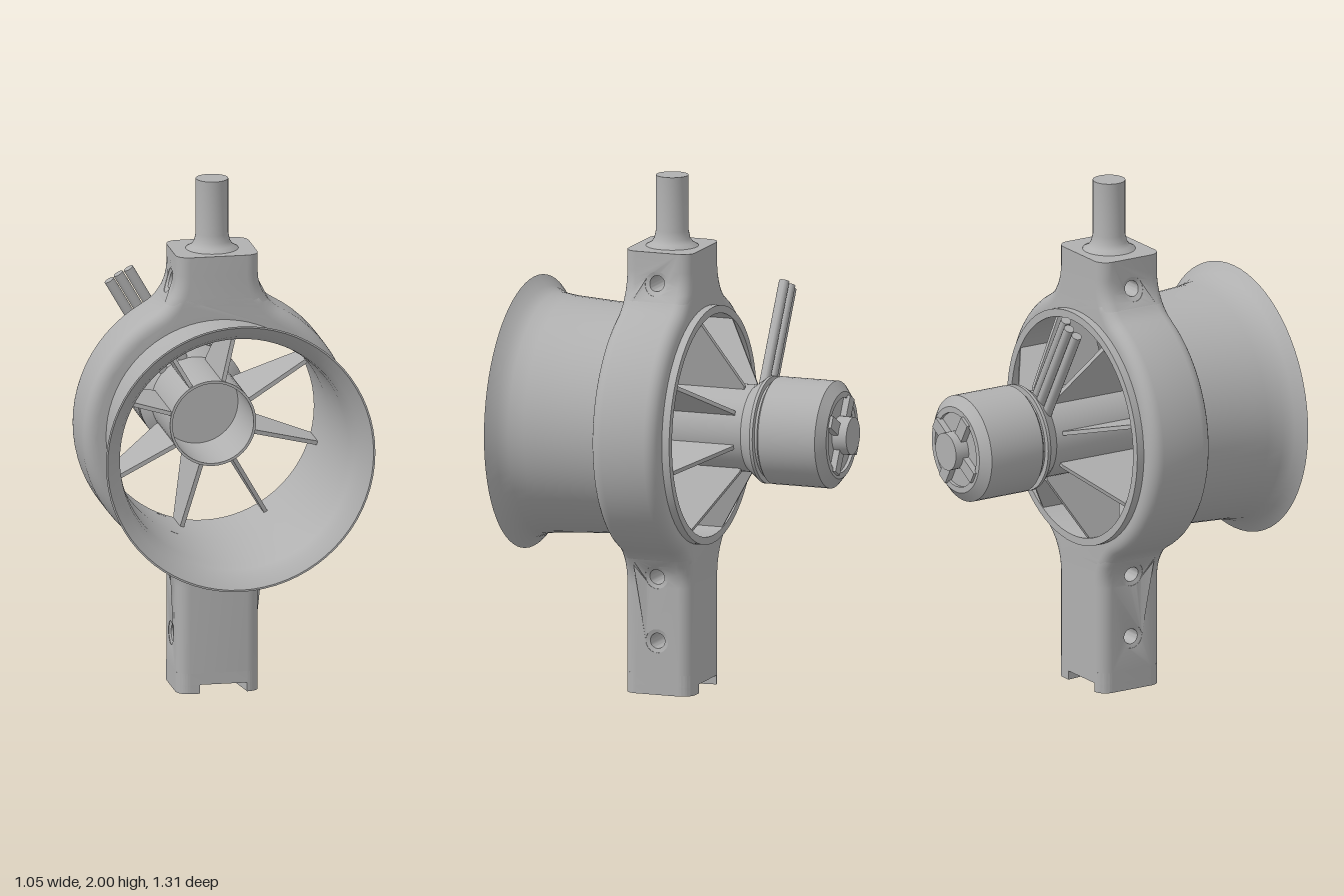
import * as THREE from 'three';
import { toCreasedNormals } from 'three/addons/utils/BufferGeometryUtils.js';

const CY = 1.035;          // height of the duct axis
const MZ = 0.0875;         // depth middle of the bracket
const BEVEL = 0.05;
const FILLET = 0.176, FX = 0.336, FD = 0.615; // fillet between post and ring

export function createModel() {
  const grey = new THREE.MeshStandardMaterial({ color: 0xb0b0b0 });
  grey.name = 'grey';
  const model = new THREE.Group();
  const body = new THREE.Group(); // everything placed around the duct axis
  body.name = 'ductedFan';
  body.position.y = CY;
  model.add(body);

  const add = (parent, name, geo, crease = 0.6) => {
    const mesh = new THREE.Mesh(crease ? toCreasedNormals(geo, crease) : geo, grey);
    mesh.name = name;
    parent.add(mesh);
    return mesh;
  };
  const vecs = pts => pts.map(p => new THREE.Vector2(p[0], p[1]));
  // Revolved part along z, points are [radius, z]
  const turned = (pts, seg = 64) => new THREE.LatheGeometry(vecs(pts), seg).rotateX(Math.PI / 2);
  const eachVertex = (geo, rule) => {
    const p = geo.attributes.position, v = new THREE.Vector3();
    for (let i = 0; i < p.count; i++) {
      v.fromBufferAttribute(p, i);
      rule(v);
      p.setXYZ(i, v.x, v.y, v.z);
    }
    return geo;
  };

  // Bracket ring with fillets running up and down into the posts
  const quarter = [];
  const tangent = Math.atan2(FD, FX);
  for (let i = 0; i <= 12; i++) {
    const a = tangent * i / 12;
    quarter.push([0.475 * Math.cos(a), 0.475 * Math.sin(a)]);
  }
  for (let i = 1; i <= 8; i++) {
    const a = Math.PI + tangent - (tangent - 0.15) * i / 8;
    quarter.push([FX + (FILLET + BEVEL) * Math.cos(a), FD + (FILLET + BEVEL) * Math.sin(a)]);
  }
  const back = quarter.slice().reverse();
  const outline = [
    ...quarter, ...back.map(([x, y]) => [-x, y]),
    ...quarter.slice(1).map(([x, y]) => [-x, -y]), ...back.slice(0, -1).map(([x, y]) => [x, -y]),
  ];
  const ringShape = new THREE.Shape(vecs(outline));
  ringShape.holes.push(new THREE.Path().absarc(0, 0, 0.435, 0, Math.PI * 2, true));
  const ringGeo = new THREE.ExtrudeGeometry(ringShape, {
    depth: 0.175, bevelThickness: BEVEL, bevelSize: BEVEL, bevelSegments: 6, curveSegments: 40,
  });
  eachVertex(ringGeo, v => {
    const r = Math.hypot(v.x, v.y);
    if (r < 0.45) { v.x *= 0.435 / r; v.y *= 0.435 / r; }
    else v.y = THREE.MathUtils.clamp(v.y, -0.52, 0.52);
  });
  add(body, 'bracketRing', ringGeo);

  // Posts, with cross holes along x and sides that spread toward the ring
  const spread = d => d >= FD ? 1 : (FX - Math.sqrt(FILLET ** 2 - (FD - d) ** 2)) / 0.16;
  const post = (top, holes) => {
    const ds = [0.5, 0.53, 0.56, 0.59, FD, top];
    const s = new THREE.Shape(vecs([...ds.map(d => [0.175, d]), ...ds.reverse().map(d => [0, d])]));
    for (const d of holes) s.holes.push(new THREE.Path().absarc(MZ, d, 0.06, 0, Math.PI * 2, true));
    const geo = new THREE.ExtrudeGeometry(s, {
      depth: 0.22, bevelThickness: BEVEL, bevelSize: BEVEL, bevelSegments: 6, curveSegments: 16,
    });
    geo.translate(0, 0, -0.11).rotateY(-Math.PI / 2);
    return eachVertex(geo, v => {
      const d = holes.find(h => Math.hypot(v.z - MZ, v.y - h) < 0.07);
      if (d !== undefined) {
        const r = Math.hypot(v.z - MZ, v.y - d), k = (Math.abs(v.x) > 0.155 ? 0.046 : 0.03) / r;
        v.z = MZ + (v.z - MZ) * k;
        v.y = d + (v.y - d) * k;
      } else v.y = THREE.MathUtils.clamp(v.y, 0.5, top);
      v.x *= spread(v.y);
    });
  };
  add(body, 'upperPost', post(0.69, [0.57]));
  add(body, 'lowerPost', post(CY - 0.08, [0.575, 0.825])).rotation.z = Math.PI;

  // Foot: slab with a centre hole and two low legs leaving a slot
  const upright = (shape, y, h) => new THREE.ExtrudeGeometry(shape, { depth: h, bevelEnabled: false })
    .rotateX(-Math.PI / 2).translate(0, y, 0);
  const rounded = inner => {
    const s = new THREE.Shape();
    s.moveTo(inner, -0.1375);
    s.absarc(0.11, -0.0875, 0.05, -Math.PI / 2, 0, false);
    s.absarc(0.11, 0.0875, 0.05, 0, Math.PI / 2, false);
    if (inner < 0) {
      s.absarc(-0.11, 0.0875, 0.05, Math.PI / 2, Math.PI, false);
      s.absarc(-0.11, -0.0875, 0.05, Math.PI, Math.PI * 1.5, false);
    } else s.lineTo(inner, 0.1375);
    return s;
  };
  const foot = new THREE.Group();
  foot.name = 'foot';
  foot.position.z = MZ;
  model.add(foot);
  const slab = rounded(-0.11);
  slab.holes.push(new THREE.Path().absarc(0, 0, 0.04, 0, Math.PI * 2, true));
  add(foot, 'footSlab', upright(slab, 0.035, 0.045));
  for (const turn of [0, Math.PI]) add(foot, 'footLeg', upright(rounded(0.073), 0, 0.035)).rotation.y = turn;

  // Top rod with a flared base
  const rod = add(model, 'topRod', new THREE.LatheGeometry(vecs([
    [0.105, 1.72], [0.1, 1.727], [0.08, 1.738], [0.069, 1.755], [0.0625, 1.785], [0.0625, 2], [0, 2],
  ]), 32));
  rod.position.z = MZ;

  // Duct with flared intake lip and rear rim
  add(body, 'duct', turned([
    [0.46, -0.08], [0.46, -0.05], [0.44, -0.05], [0.44, 0.225], [0.446, 0.37], [0.455, 0.52],
    [0.464, 0.58], [0.483, 0.62], [0.525, 0.655], [0.518, 0.655], [0.476, 0.62], [0.456, 0.58],
    [0.447, 0.52], [0.438, 0.37], [0.43, 0.225], [0.43, -0.08], [0.46, -0.08],
  ], 72));

  // Hollow hub
  add(body, 'hub', turned([
    [0.168, -0.262], [0.168, 0.11], [0.158, 0.11], [0.158, -0.2], [0, -0.2],
  ], 48));

  // Eight guide vanes
  const vaneShape = new THREE.Shape(vecs([
    [0.163, -0.228], [0.18, -0.228], [0.425, -0.08], [0.435, -0.07], [0.435, 0.06], [0.163, 0.1],
  ]));
  const vaneGeo = new THREE.ExtrudeGeometry(vaneShape, { depth: 0.016, bevelEnabled: false })
    .translate(0, 0, -0.008).rotateX(Math.PI / 2);
  for (let i = 0; i < 8; i++) {
    add(body, 'guideVane', vaneGeo, 0).rotation.z = Math.PI * (30 + 45 * i) / 180;
  }

  // Motor: mounting flange, neck, can, end boss and end spokes
  add(body, 'motorFlange', turned([
    [0, -0.322], [0.207, -0.322], [0.207, -0.31], [0.168, -0.258], [0, -0.258],
  ], 48));
  add(body, 'motorNeck', turned([[0.185, -0.35], [0.185, -0.32]], 48));
  add(body, 'motorCan', turned([
    [0, -0.597], [0.145, -0.597], [0.145, -0.61], [0.168, -0.61], [0.207, -0.578],
    [0.207, -0.345], [0.2, -0.338], [0, -0.338],
  ], 48));
  add(body, 'motorBoss', turned([[0, -0.655], [0.073, -0.655], [0.073, -0.59]], 32));
  for (let i = 0; i < 4; i++) {
    const a = Math.PI * (30 + 90 * i) / 180;
    const spoke = add(body, 'endSpoke', new THREE.BoxGeometry(0.1, 0.05, 0.03), 0);
    spoke.position.set(0.105 * Math.cos(a), 0.105 * Math.sin(a), -0.607);
    spoke.rotation.z = a;
  }

  // Three motor wires leaving at an angle
  for (const k of [-1, 0, 1]) {
    const wire = add(body, 'motorWire', new THREE.CylinderGeometry(0.02, 0.02, 0.44, 16));
    wire.rotation.z = Math.PI / 6;
    wire.position.set(-0.5 * 0.365 + 0.866 * 0.043 * k, 0.866 * 0.365 + 0.5 * 0.043 * k, k ? -0.272 : -0.282);
  }
  return model;
}
